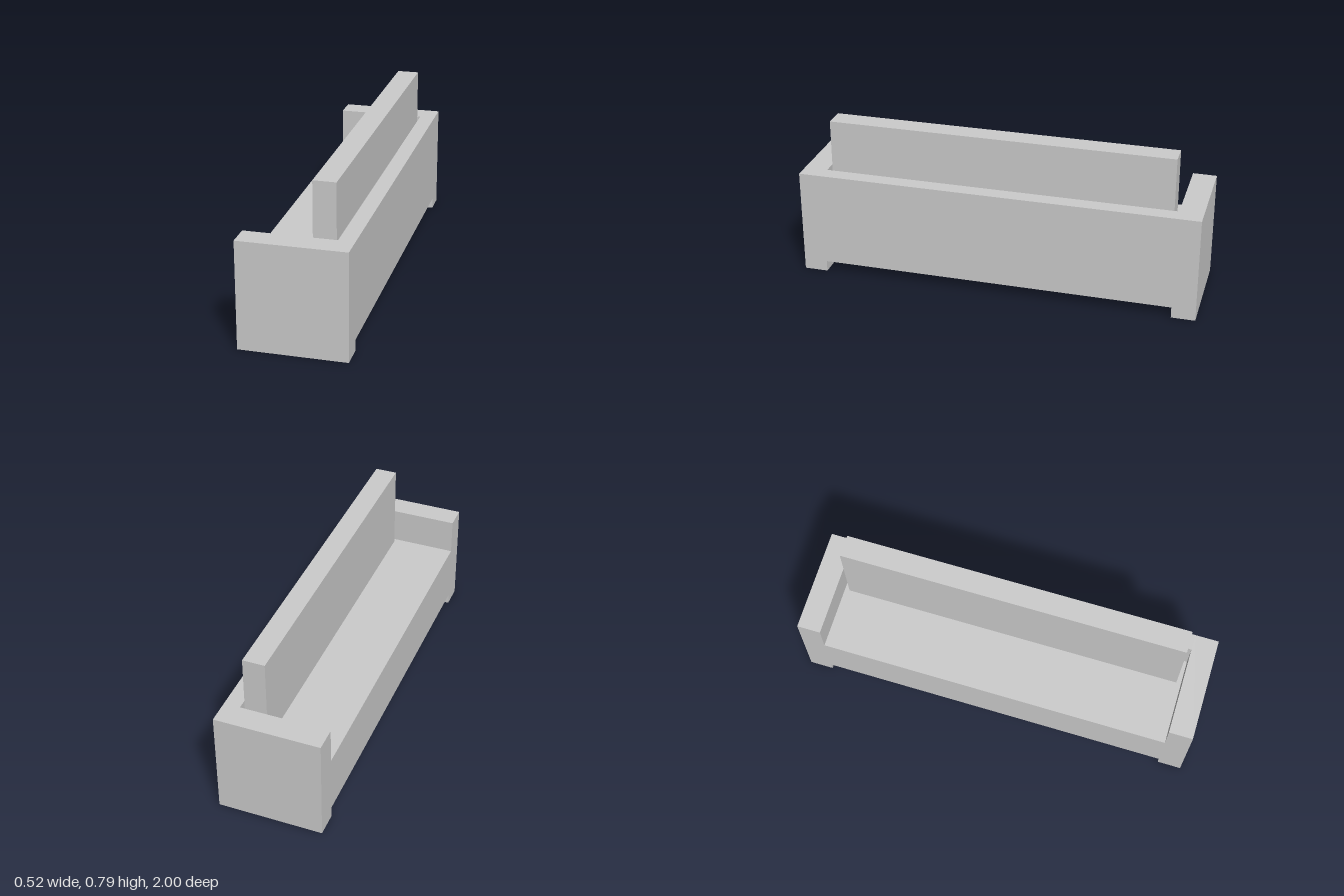
import * as THREE from 'three';

const material = new THREE.MeshStandardMaterial({ color: 0xcccccc, flatShading: true });

// Box given by its lower and upper corners
function block(name, [x0, y0, z0], [x1, y1, z1]) {
  const mesh = new THREE.Mesh(new THREE.BoxGeometry(x1 - x0, y1 - y0, z1 - z0), material);
  mesh.position.set((x0 + x1) / 2, (y0 + y1) / 2, (z0 + z1) / 2);
  mesh.name = name;
  return mesh;
}

export function createModel() {
  const sofa = new THREE.Group();
  sofa.name = 'sofa';

  const depth = 0.259;      // half depth along x, the seat opens towards -x
  const armInner = 0.882;   // inner face of the arms along z
  const armTop = 0.531;
  const seatTop = 0.35;
  const clearance = 0.055;  // gap under the seat
  const backInner = 0.18;   // inner face of the back panel

  // Arms reach the floor and act as feet
  sofa.add(block('leftArm', [-depth, 0, armInner], [depth, armTop, 1]));
  sofa.add(block('rightArm', [-depth, 0, -1], [depth, armTop, -armInner]));

  // Seat and back panel span between the arms
  sofa.add(block('seat', [-depth, clearance, -armInner], [backInner, seatTop, armInner]));
  sofa.add(block('backPanel', [backInner, clearance, -armInner], [depth, armTop, armInner]));

  // Upright back cushion, standing on the seat with a small gap all round
  sofa.add(block('backCushion', [0.059, seatTop, -0.858], [0.168, 0.79, 0.858]));

  return sofa;
}
